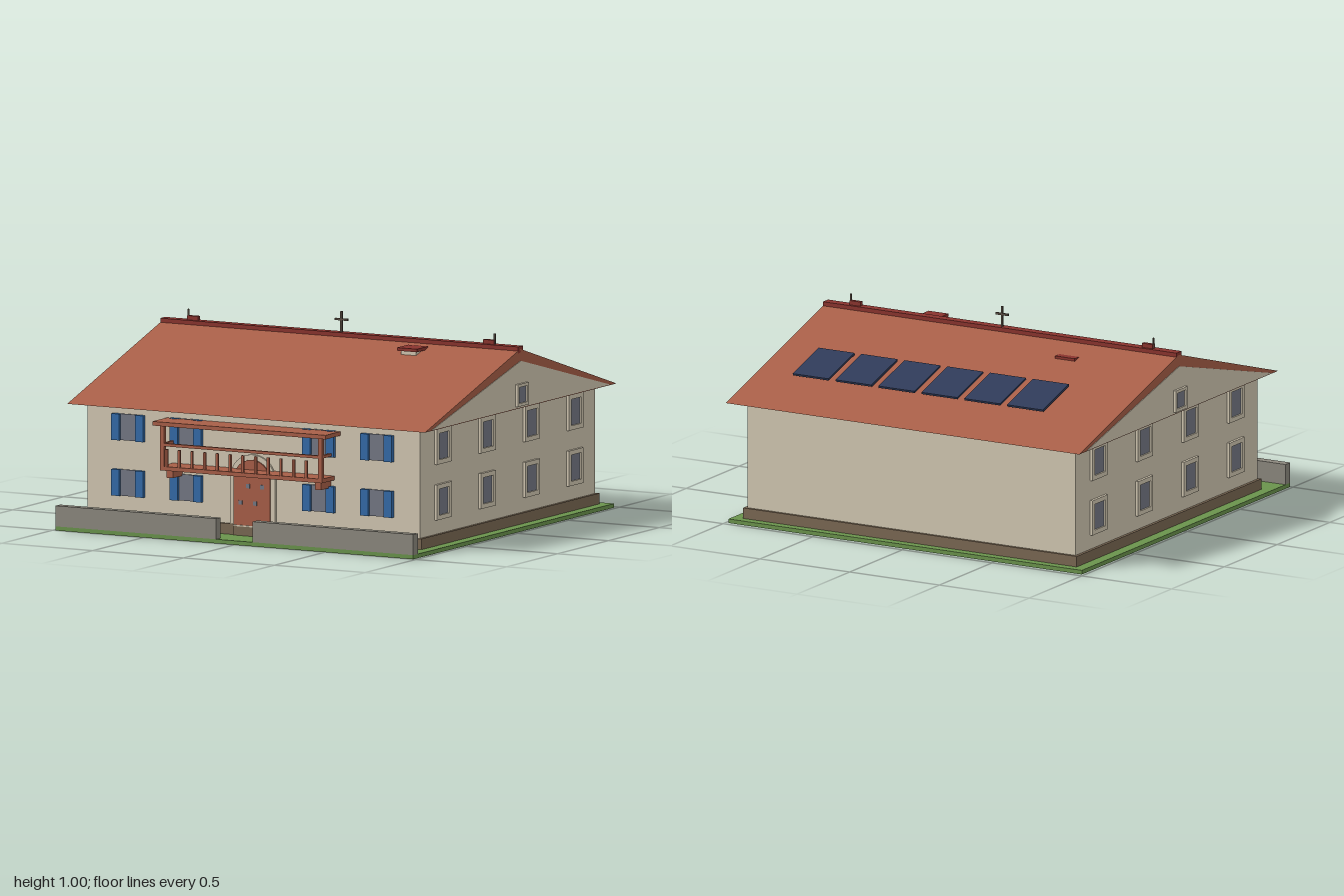
import * as THREE from 'three';

const mat = (name, color) => {
  const m = new THREE.MeshStandardMaterial({ color });
  m.name = name;
  return m;
};

export function createModel() {
  const model = new THREE.Group();
  model.name = 'house';
  const M = {
    tile: mat('terracotta', 0xa85f48),
    red: mat('dark red tile', 0x8a342e),
    wall: mat('cream plaster', 0xd2c8b2),
    glass: mat('grey glass', 0x757985),
    blue: mat('blue shutter', 0x346ba8),
    stone: mat('grey stone', 0x8c887e),
    plinth: mat('brown plinth', 0x7a6853),
    grass: mat('grass', 0x6a934c),
    solar: mat('solar blue', 0x2f3a58),
    metal: mat('dark metal', 0x5c4f44),
  };

  const add = (name, geo, m, parent = model) => {
    const mesh = new THREE.Mesh(geo, m);
    mesh.name = name;
    parent.add(mesh);
    return mesh;
  };
  // Box given by its low and high limits on each axis
  const box = (name, m, [x0, x1], [y0, y1], [z0, z1], parent) => {
    const b = add(name, new THREE.BoxGeometry(x1 - x0, y1 - y0, z1 - z0), m, parent);
    b.position.set((x0 + x1) / 2, (y0 + y1) / 2, (z0 + z1) / 2);
    return b;
  };
  // Prism along x from a (z, y) outline, centred on x = 0
  const prism = (name, m, pts, width) => {
    const shape = new THREE.Shape(pts.map(([z, y]) => new THREE.Vector2(z, y)));
    const p = add(name, new THREE.ExtrudeGeometry(shape, { depth: width, bevelEnabled: false }), m);
    p.rotation.y = -Math.PI / 2;
    p.position.x = width / 2;
    return p;
  };
  const group = (name) => {
    const g = new THREE.Group();
    g.name = name;
    model.add(g);
    return g;
  };

  // Plot, garden walls and house body
  box('lawn', M.grass, [-0.985, 0.985], [0, 0.02], [-0.975, 1]);
  box('gardenWallRight', M.stone, [-0.985, -0.1], [0.02, 0.12], [0.955, 1]);
  box('gardenWallLeft', M.stone, [0.1, 0.985], [0.02, 0.12], [0.955, 1]);
  box('plinth', M.plinth, [-0.93, 0.93], [0.02, 0.072], [-0.93, 0.822]);
  box('walls', M.wall, [-0.915, 0.915], [0.03, 0.602], [-0.915, 0.81]);

  // Roof with plastered gables and ridge cap
  const ridgeZ = -0.055;
  prism('roof', M.tile, [[0.885, 0.6], [ridgeZ, 0.887], [-1, 0.6]], 1.97);
  prism('gables', M.wall, [[0.82, 0.604], [ridgeZ, 0.83], [-0.93, 0.604]], 1.976);
  box('ridgeCap', M.red, [-0.985, 0.985], [0.868, 0.9], [ridgeZ - 0.024, ridgeZ + 0.024]);
  for (const s of [-1, 1]) {
    box('ridgeBlock', M.red, [s * 0.815 - 0.03, s * 0.815 + 0.03], [0.9, 0.921], [ridgeZ - 0.01, ridgeZ + 0.01]);
    box('ridgePin', M.metal, [s * 0.843 - 0.004, s * 0.843 + 0.004], [0.9, 0.952], [ridgeZ - 0.004, ridgeZ + 0.004]);
  }
  box('crossPost', M.metal, [-0.005, 0.005], [0.9, 1], [ridgeZ - 0.005, ridgeZ + 0.005]);
  box('crossArm', M.metal, [-0.035, 0.035], [0.956, 0.966], [ridgeZ - 0.005, ridgeZ + 0.005]);

  // Chimney and rear roof hatch
  box('chimney', M.wall, [0.413, 0.497], [0.8, 0.861], [0.02, 0.1]);
  box('chimneyCap', M.red, [0.4, 0.51], [0.859, 0.874], [0.005, 0.115]);
  box('roofHatch', M.red, [-0.51, -0.4], [0.8, 0.845], [-0.235, -0.19]);

  // Solar panels hovering just over the rear slope
  const panels = group('solarPanels');
  for (let i = 0; i < 6; i++) {
    const p = add('solarPanel', new THREE.BoxGeometry(0.2, 0.01, 0.257), M.solar, panels);
    p.position.set(-0.518 + i * 0.239, 0.744, -0.595);
    p.rotation.x = -0.293;
  }

  // Front windows with shutters
  const rows = [0.228, 0.498];
  const front = group('frontWindows');
  for (const y of rows) {
    for (const x of [-0.685, -0.365, 0.365, 0.685]) {
      const span = [y - 0.064, y + 0.064];
      box('frontGlass', M.glass, [x - 0.045, x + 0.045], span, [0.808, 0.817], front);
      for (const s of [-1, 1]) {
        const c = x + s * 0.065;
        box('shutter', M.blue, [c - 0.022, c + 0.022], span, [0.808, 0.832], front);
      }
    }
  }

  // Side and gable windows in raised plaster surrounds
  const frameGeo = (w, h, border) => {
    const rect = (C, a, b) => new C([[-a, -b], [a, -b], [a, b], [-a, b]].map(([x, y]) => new THREE.Vector2(x, y)));
    const shape = rect(THREE.Shape, w / 2 + border, h / 2 + border);
    shape.holes.push(rect(THREE.Path, w / 2, h / 2));
    return new THREE.ExtrudeGeometry(shape, { depth: 0.014, bevelEnabled: false });
  };
  const sideWindow = (s, x, y, z, w, h, border) => {
    const g = group('sideWindow');
    add('surround', frameGeo(w, h, border), M.wall, g);
    box('sideGlass', M.glass, [-w / 2, w / 2], [-h / 2, h / 2], [-0.002, 0.006], g);
    g.position.set(s * x, y, z);
    g.rotation.y = s * Math.PI / 2;
  };
  for (const s of [-1, 1]) {
    for (const y of rows) {
      for (const z of [0.592, 0.16, -0.275, -0.705]) sideWindow(s, 0.915, y, z, 0.1, 0.128, 0.022);
    }
    sideWindow(s, 0.987, 0.667, ridgeZ, 0.08, 0.078, 0.015);
  }

  // Arched front door
  const arch = (r, top) => {
    const shape = new THREE.Shape();
    shape.moveTo(-r, 0.068);
    shape.lineTo(r, 0.068);
    shape.lineTo(r, top);
    shape.absarc(0, top, r, 0, Math.PI);
    return shape;
  };
  const archGeo = (r, depth) =>
    new THREE.ExtrudeGeometry(arch(r, 0.29), { depth, bevelEnabled: false, curveSegments: 16 });
  add('doorSurround', archGeo(0.125, 0.012), M.wall).position.z = 0.809;
  add('door', archGeo(0.1, 0.02), M.tile).position.z = 0.809;
  box('doorStep', M.plinth, [-0.1, 0.1], [0.02, 0.064], [0.8, 0.835]);
  box('doorSill', M.wall, [-0.1, 0.1], [0.064, 0.07], [0.8, 0.835]);
  for (const [x, y] of [[-0.062, 0.18], [0.018, 0.18], [-0.02, 0.262], [0.058, 0.262]]) {
    box('doorPane', M.glass, [x - 0.01, x + 0.01], [y - 0.01, y + 0.01], [0.828, 0.832]);
  }

  // Wooden balcony with canopy
  const balcony = group('balcony');
  const wood = (name, x, y, z) => box(name, M.tile, x, y, z, balcony);
  wood('balconyFloor', [-0.445, 0.445], [0.322, 0.342], [0.81, 0.935]);
  wood('balconyCanopy', [-0.477, 0.477], [0.54, 0.56], [0.81, 0.955]);
  wood('frontRail', [-0.445, 0.445], [0.44, 0.454], [0.917, 0.933]);
  for (const s of [-1, 1]) {
    const at = (c, w) => [s * c - w, s * c + w];
    wood('bracket', at(0.408, 0.017), [0.284, 0.322], [0.81, 0.907]);
    wood('post', at(0.435, 0.01), [0.34, 0.542], [0.915, 0.935]);
    wood('sideRail', at(0.435, 0.007), [0.44, 0.454], [0.81, 0.92]);
  }
  for (let i = 0; i < 12; i++) {
    const x = -0.415 + i * 0.07;
    wood('baluster', [x - 0.006, x + 0.006], [0.34, 0.425], [0.919, 0.931]);
  }

  return model;
}
